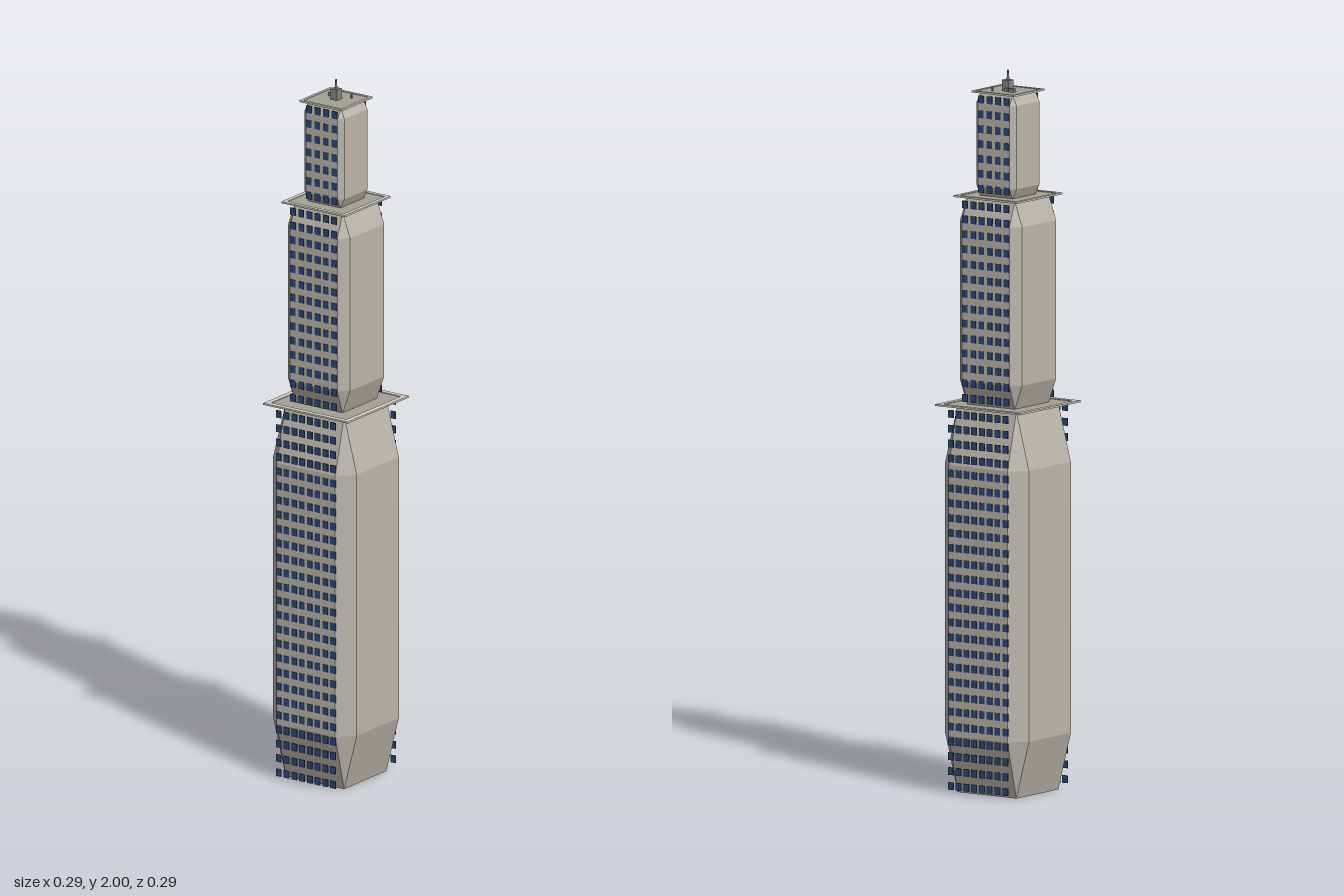
import * as THREE from 'three';
import { mergeGeometries } from 'three/addons/utils/BufferGeometryUtils.js';
import { ConvexGeometry } from 'three/addons/geometries/ConvexGeometry.js';

const paint = (color) => new THREE.MeshStandardMaterial({ color });
const concrete = paint(0xbdb8ac);
const rimStone = paint(0xd2cec4);
const roofing = paint(0xa39f92);
const glass = paint(0x2b4a78);
const metal = paint(0x85878c);
const red = paint(0xb03040);

const FLOOR = 1.94 / 47;

// stacked blocks: half width, bevel share, floors, window columns and pitch
const tiers = [
  { name: 'lower', half: 0.141, bevel: 0.15, floors: 26, columns: 8, pitch: 0.0262 },
  { name: 'middle', half: 0.105, bevel: 0.12, floors: 14, columns: 6, pitch: 0.0278 },
  { name: 'upper', half: 0.067, bevel: 0.10, floors: 7, columns: 4, pitch: 0.0288 },
];

function add(parent, name, geometry, material, x = 0, y = 0, z = 0) {
  const mesh = new THREE.Mesh(geometry, material);
  mesh.name = name;
  mesh.position.set(x, y, z);
  parent.add(mesh);
  return mesh;
}

// box with every edge and corner cut off
function bevelledBlock(half, height, bevel) {
  const inner = half * (1 - 2 * bevel);
  const top = height / 2;
  const shoulder = top - height * bevel;
  const points = [];
  for (const sx of [-1, 1]) for (const sy of [-1, 1]) for (const sz of [-1, 1]) {
    points.push(
      new THREE.Vector3(sx * inner, sy * top, sz * inner),
      new THREE.Vector3(sx * half, sy * shoulder, sz * inner),
      new THREE.Vector3(sx * inner, sy * shoulder, sz * half),
    );
  }
  return new ConvexGeometry(points);
}

// window grid on the front and back planes
function windowGrid({ half, floors, columns, pitch }) {
  const panes = [];
  for (const side of [-1, 1])
    for (let row = 0; row < floors; row++)
      for (let col = 0; col < columns; col++) {
        const pane = new THREE.BoxGeometry(0.018, 0.021, 0.003);
        pane.translate((col - (columns - 1) / 2) * pitch, (row + 0.55) * FLOOR, side * half);
        panes.push(pane);
      }
  return mergeGeometries(panes);
}

// square frame lying flat, with a hole for the roof
function roofRim(outer, inner, height) {
  const square = (shape, s) => {
    shape.moveTo(-s, -s);
    shape.lineTo(s, -s);
    shape.lineTo(s, s);
    shape.lineTo(-s, s);
    shape.closePath();
    return shape;
  };
  const shape = square(new THREE.Shape(), outer);
  shape.holes.push(square(new THREE.Path(), inner));
  const geometry = new THREE.ExtrudeGeometry(shape, { depth: height, bevelEnabled: false });
  return geometry.rotateX(-Math.PI / 2);
}

export function createModel() {
  const tower = new THREE.Group();
  tower.name = 'tower';

  let base = 0;
  for (const tier of tiers) {
    const height = tier.floors * FLOOR;
    const group = new THREE.Group();
    group.name = `${tier.name}Tier`;
    group.position.y = base;
    tower.add(group);

    add(group, 'block', bevelledBlock(tier.half, height, tier.bevel), concrete, 0, height / 2);
    add(group, 'windows', windowGrid(tier), glass);

    // overhanging roof slab with a pale rim
    const outer = tier.half + (tier.name === 'upper' ? 0.005 : 0.002);
    const inner = outer * 0.89;
    add(group, 'roof', new THREE.BoxGeometry(inner * 2, 0.003, inner * 2), roofing, 0, height + 0.0005);
    add(group, 'roofRim', roofRim(outer, inner, 0.005), rimStone, 0, height - 0.001);
    base += height;
  }

  // rooftop plant and mast
  const plant = new THREE.Group();
  plant.name = 'rooftopEquipment';
  plant.position.y = base + 0.002;
  tower.add(plant);
  add(plant, 'mastBase', new THREE.BoxGeometry(0.022, 0.03, 0.022), metal, 0, 0.015, -0.001);
  add(plant, 'mast', new THREE.CylinderGeometry(0.002, 0.004, 0.026, 8), metal, 0, 0.043);
  add(plant, 'beacon', new THREE.SphereGeometry(0.003, 8, 6), red, 0, 0.055);
  add(plant, 'coolingUnit', new THREE.BoxGeometry(0.016, 0.01, 0.012), metal, -0.027, 0.005, -0.018);
  add(plant, 'ventUnit', new THREE.BoxGeometry(0.01, 0.01, 0.01), metal, -0.01, 0.005, -0.018);
  add(plant, 'ventPipe', new THREE.CylinderGeometry(0.0025, 0.0025, 0.012, 8), metal, 0.03, 0.006, -0.031);

  return tower;
}
